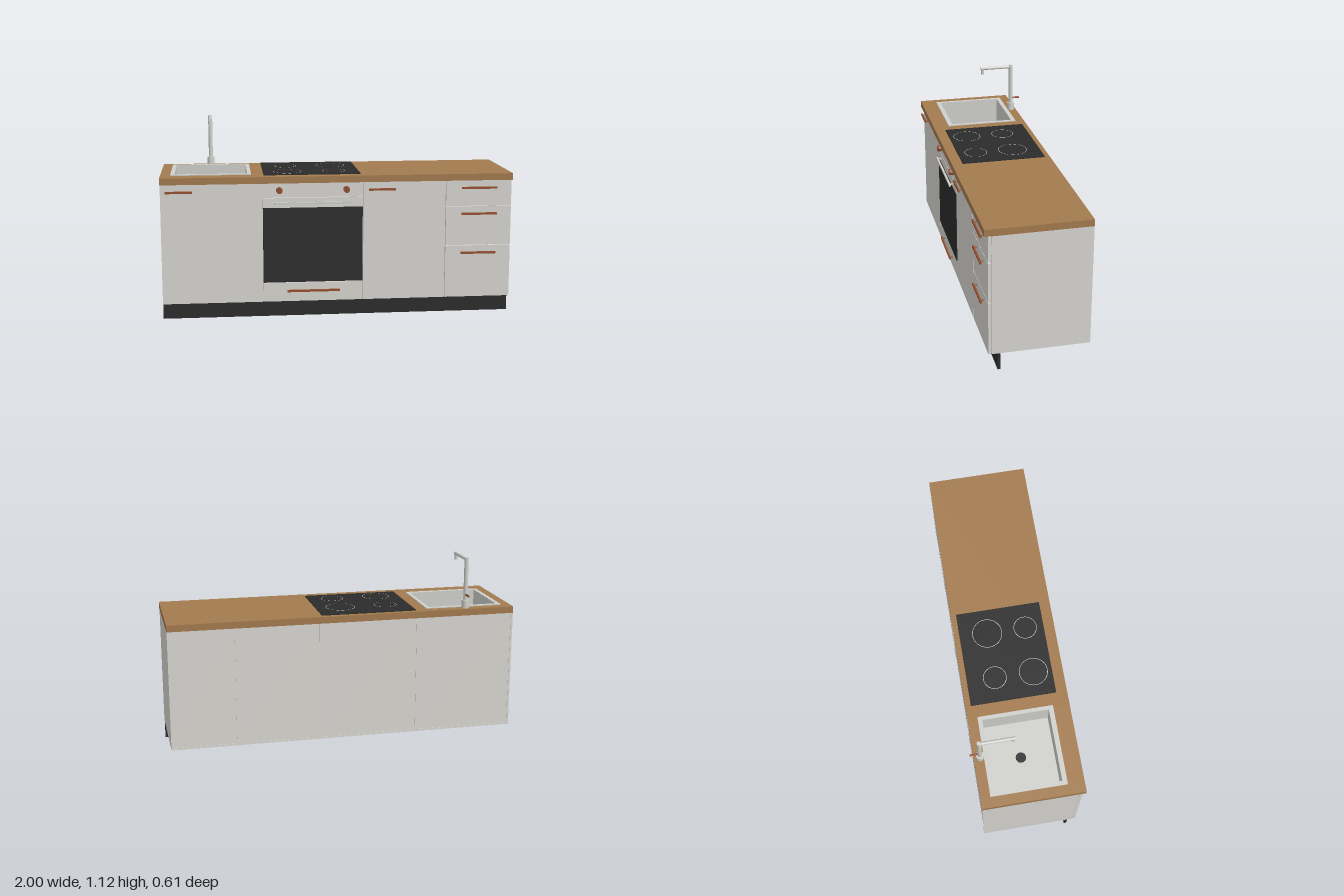
import * as THREE from 'three';

const mat = (name, color) => {
  const m = new THREE.MeshStandardMaterial({ color });
  m.name = name;
  return m;
};

export function createModel() {
  const root = new THREE.Group();
  root.name = 'kitchenUnit';
  const white = mat('warmWhite', 0xd8d6d1);
  const wood = mat('wood', 0xa37a4e);
  const black = mat('black', 0x2b2b2b);
  const copper = mat('copper', 0x96502f);
  const steel = mat('steel', 0xcfcfcb);
  steel.side = THREE.DoubleSide;

  const add = (name, geo, material, x = 0, y = 0, z = 0) => {
    const m = new THREE.Mesh(geo, material);
    m.name = name;
    m.position.set(x, y, z);
    root.add(m);
    return m;
  };
  // Box given by its two corners
  const box = (name, material, x0, x1, y0, y1, z0, z1) =>
    add(name, new THREE.BoxGeometry(x1 - x0, y1 - y0, z1 - z0), material,
      (x0 + x1) / 2, (y0 + y1) / 2, (z0 + z1) / 2);
  // Cylinder along a chosen axis
  const rod = (name, material, r, len, axis, x, y, z, sides = 24) => {
    const g = new THREE.CylinderGeometry(r, r, len, sides);
    if (axis === 'x') g.rotateZ(Math.PI / 2);
    if (axis === 'z') g.rotateX(Math.PI / 2);
    return add(name, g, material, x, y, z);
  };

  // Open-topped cabinets with side, bottom, back and plinth panels
  const edges = [-1, -0.43, 0.14, 0.617, 1];
  const bottom = 0.098, top = 0.783, back = -0.28, front = 0.255, t = 0.012;
  for (let i = 0; i < 4; i++) {
    const a = edges[i], b = edges[i + 1];
    box('cabinetSide', white, a, a + t, bottom, top, back, front);
    box('cabinetSide', white, b - t, b, bottom, top, back, front);
    box('cabinetBottom', white, a + t, b - t, bottom + 0.001, bottom + t, back, front);
    box('cabinetBack', white, a + t, b - t, bottom + t, top, back + 0.003, back + 0.01);
    box('cabinetRail', white, a + t, b - t, top - 0.03, top - 0.001, front - 0.01, front);
    box('plinth', black, a, b, 0, 0.095, 0.21, 0.225);
  }

  // Fronts: x0, x1, y0, y1
  const gap = 0.002;
  [
    ['door', -1, -0.43, bottom, 0.78], ['door', 0.14, 0.617, bottom, 0.78],
    ['drawerFront', 0.617, 1, 0.634, 0.78],
    ['drawerFront', 0.617, 1, 0.405, 0.63],
    ['drawerFront', 0.617, 1, bottom, 0.401],
    ['ovenDrawerFront', -0.43, 0.14, bottom, 0.206],
    ['controlPanel', -0.43, 0.14, 0.701, 0.78],
    ['ovenDoorStrip', -0.43, 0.14, 0.641, 0.697],
  ].forEach(([n, a, b, c, d]) => box(n, white, a + gap, b - gap, c, d, 0.257, 0.274));
  box('ovenGlass', black, -0.428, 0.138, 0.21, 0.64, 0.257, 0.277);

  // Copper bar handles on two posts
  [
    [-0.97, -0.82, 0.74], [0.17, 0.325, 0.74], [0.705, 0.91, 0.74],
    [0.705, 0.91, 0.59], [0.705, 0.91, 0.362], [-0.295, 0.005, 0.162],
  ].forEach(([a, b, y]) => {
    box('handleBar', copper, a, b, y - 0.006, y + 0.006, 0.288, 0.298);
    for (const x of [a + 0.02, b - 0.02])
      rod('handlePost', copper, 0.004, 0.016, 'z', x, y, 0.281, 10);
  });

  // Oven handle and knobs
  box('ovenHandle', steel, -0.365, 0.075, 0.663, 0.675, 0.292, 0.303);
  for (const x of [-0.345, 0.055])
    rod('ovenHandlePost', steel, 0.004, 0.02, 'z', x, 0.669, 0.283, 10);
  for (const x of [-0.335, 0.045]) {
    rod('knob', copper, 0.018, 0.022, 'z', x, 0.742, 0.285);
    box('knobGrip', copper, x - 0.004, x + 0.004, 0.726, 0.758, 0.294, 0.3);
  }

  // Worktop in four pieces around the sink
  const sx0 = -0.925, sx1 = -0.507, sz0 = -0.205, sz1 = 0.178, wt = 0.821;
  box('worktop', wood, -1, sx0, top, wt, back, 0.293);
  box('worktop', wood, sx1, 1, top, wt, back, 0.293);
  box('worktop', wood, sx0, sx1, top, wt, back, sz0);
  box('worktop', wood, sx0, sx1, top, wt, sz1, 0.293);

  // Sink: flat rim, four walls and a floor with a drain
  const rect = (P, a, b, c, d) => {
    const p = new P();
    p.moveTo(a, c); p.lineTo(b, c); p.lineTo(b, d); p.lineTo(a, d); p.closePath();
    return p;
  };
  const e = 0.003, ix0 = sx0 + e, ix1 = sx1 - e, iz0 = sz0 + e, iz1 = sz1 - e;
  const rim = rect(THREE.Shape, -0.943, -0.49, -0.2, 0.225);
  rim.holes.push(rect(THREE.Path, ix0, ix1, -iz1, -iz0));
  const rimGeo = new THREE.ExtrudeGeometry(rim, { depth: 0.005, bevelEnabled: false });
  rimGeo.rotateX(-Math.PI / 2);
  add('sinkRim', rimGeo, steel, 0, wt, 0);
  const floor = 0.665;
  box('sinkFloor', steel, ix0, ix1, floor - 0.003, floor, iz0, iz1);
  for (const x of [ix0, ix1 - 0.002]) box('sinkWall', steel, x, x + 0.002, floor, wt + 0.004, iz0, iz1);
  for (const z of [iz0, iz1 - 0.002]) box('sinkWall', steel, ix0, ix1, floor, wt + 0.004, z, z + 0.002);
  const fx = -0.717;
  rod('drain', black, 0.029, 0.006, 'y', fx, floor + 0.002, -0.017, 32);

  // Faucet
  const fz = -0.246;
  rod('faucetBase', steel, 0.022, 0.047, 'y', fx, 0.845, fz);
  rod('faucetColumn', steel, 0.012, 0.25, 'y', fx, 0.991, fz);
  rod('faucetArm', steel, 0.0095, 0.195, 'z', fx, 1.106, -0.149);
  rod('faucetSpout', steel, 0.0095, 0.035, 'y', fx, 1.087, -0.064);
  rod('faucetLever', copper, 0.006, 0.05, 'z', fx, 0.9, -0.277, 12);

  // Hob with four ringed cooking zones
  box('hob', black, -0.42, 0.13, wt, 0.826, -0.25, 0.232);
  [[-0.28, -0.092, 0.065], [-0.012, -0.092, 0.084],
    [-0.28, 0.127, 0.08], [-0.012, 0.127, 0.065]].forEach(([x, z, r]) => {
    rod('cookingZone', black, r - 0.002, 0.002, 'y', x, 0.8265, z, 48);
    const ring = new THREE.RingGeometry(r - 0.002, r + 0.001, 48);
    ring.rotateX(-Math.PI / 2);
    add('cookingZoneRing', ring, steel, x, 0.8272, z);
  });

  return root;
}
